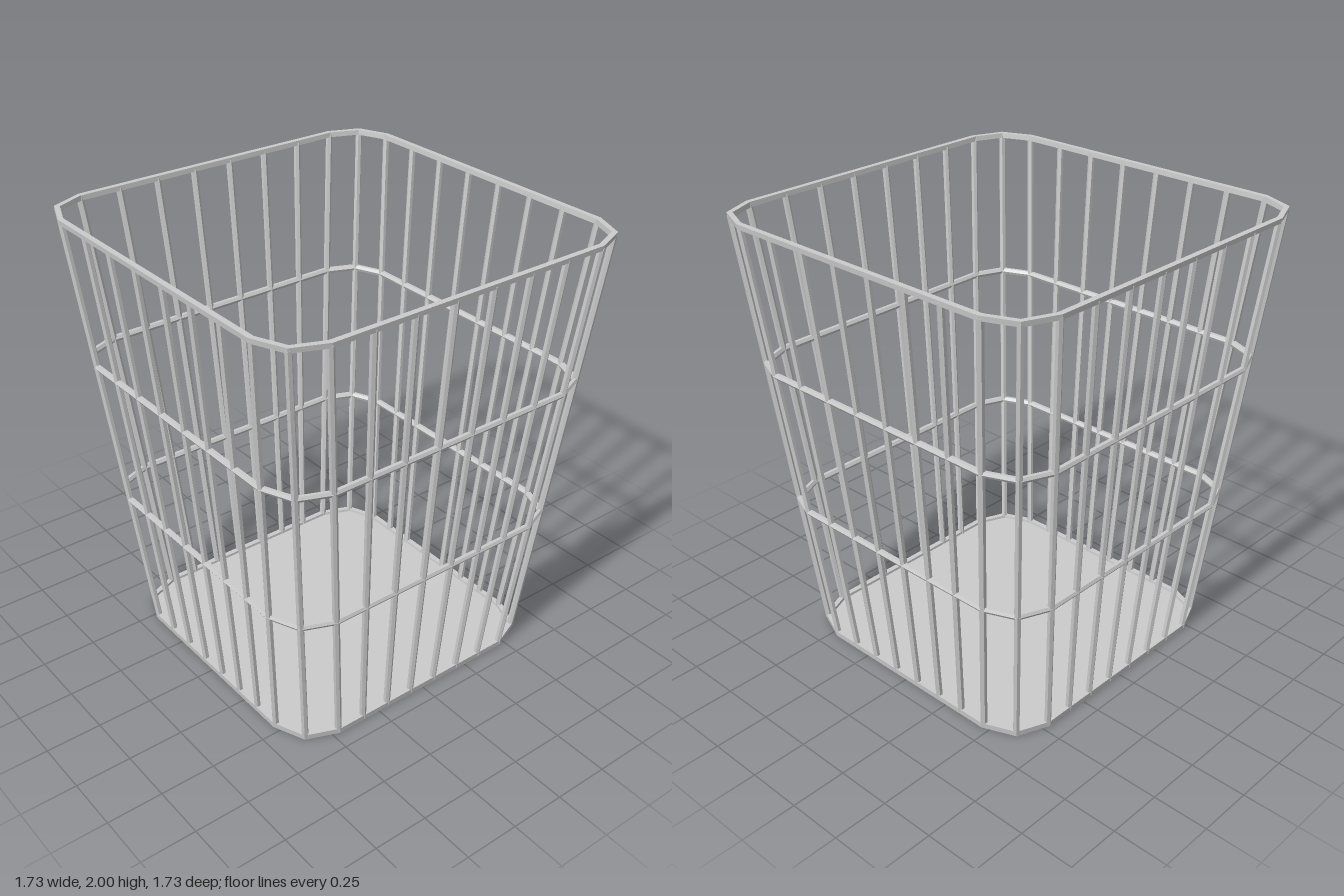
import * as THREE from 'three';

const HEIGHT = 2, CORNER = 0.19, WIRE = 0.015, GAPS = 7;
const material = new THREE.MeshStandardMaterial({ color: 0xcccccc, flatShading: true });

// Half width of the tapering basket along the wire centres
const halfWidth = (y) => 0.657 + 0.0975 * y;

// Twelve outline points at height y, pushed outward by d: three for each chamfered corner
function outline(y, d = 0) {
  const c = halfWidth(y) - CORNER, points = [];
  for (let k = 0; k < 4; k++) {
    const mid = (k + 0.5) * Math.PI / 2;
    for (let s = -1; s <= 1; s++) {
      const a = mid + s * Math.PI / 4;
      points.push(new THREE.Vector3(
        Math.sign(Math.cos(mid)) * c + (CORNER + d) * Math.cos(a), y,
        Math.sign(Math.sin(mid)) * c + (CORNER + d) * Math.sin(a)));
    }
  }
  return points;
}

// Sweep a section of [outward, up] points around the outline
function hoop(name, y, section) {
  const loops = section.map(([d, dy]) => outline(y + dy, d));
  const m = section.length, positions = [], index = [];
  for (let i = 0; i < 12; i++) {
    for (let j = 0; j < m; j++) {
      positions.push(...loops[j][i].toArray());
      const i2 = (i + 1) % 12, j2 = (j + 1) % m;
      const a = i * m + j, b = i * m + j2, c = i2 * m + j2, e = i2 * m + j;
      index.push(a, b, c, a, c, e);
    }
  }
  const geometry = new THREE.BufferGeometry();
  geometry.setAttribute('position', new THREE.Float32BufferAttribute(positions, 3));
  geometry.setIndex(index);
  const flat = geometry.toNonIndexed();
  flat.computeVertexNormals();
  const mesh = new THREE.Mesh(flat, material);
  mesh.name = name;
  return mesh;
}

// Six-sided wire between two points, one edge facing outward
function wire(from, to, outwardAngle) {
  const dir = to.clone().sub(from);
  const geometry = new THREE.CylinderGeometry(WIRE, WIRE, dir.length(), 6);
  geometry.rotateY(outwardAngle);
  const mesh = new THREE.Mesh(geometry, material);
  mesh.quaternion.setFromUnitVectors(new THREE.Vector3(0, 1, 0), dir.normalize());
  mesh.position.copy(from).add(to).multiplyScalar(0.5);
  mesh.name = 'uprightWire';
  return mesh;
}

export function createModel() {
  const basket = new THREE.Group();
  basket.name = 'wireBasket';

  // Flat bands at the bottom and top
  const band = (t) => [[0.013, 0], [0.013, t], [-0.012, t], [-0.012, 0]];
  basket.add(hoop('bottomRim', 0, band(0.027)));
  basket.add(hoop('topRim', HEIGHT - 0.022, band(0.022)));

  // Two wire hoops at thirds of the height
  const hexagon = Array.from({ length: 6 }, (_, i) =>
    [WIRE * Math.cos(i * Math.PI / 3), WIRE * Math.sin(i * Math.PI / 3)]);
  for (const y of [HEIGHT / 3, HEIGHT * 2 / 3]) basket.add(hoop('middleHoop', y, hexagon));

  // Floor plate
  const shape = new THREE.Shape(outline(0, -0.005).map((p) => new THREE.Vector2(p.x, p.z)));
  const floorGeometry = new THREE.ExtrudeGeometry(shape, { depth: 0.014, bevelEnabled: false });
  floorGeometry.rotateX(-Math.PI / 2);
  const floor = new THREE.Mesh(floorGeometry, material);
  floor.position.y = 0.001;
  floor.name = 'floor';
  basket.add(floor);

  // Upright wires: one at each outline point, six more along each straight side
  const uprights = new THREE.Group();
  uprights.name = 'uprightWires';
  const low = outline(0.008), high = outline(HEIGHT - 0.012);
  for (let i = 0; i < 12; i++) {
    const side = Math.floor(i / 3), angle = Math.PI / 2 - (side + (i % 3) / 2) * Math.PI / 2;
    uprights.add(wire(low[i], high[i], angle));
    if (i % 3 !== 2) continue;
    const next = (i + 1) % 12;
    for (let k = 1; k < GAPS; k++) {
      uprights.add(wire(low[i].clone().lerp(low[next], k / GAPS),
        high[i].clone().lerp(high[next], k / GAPS), angle));
    }
  }
  basket.add(uprights);
  return basket;
}
